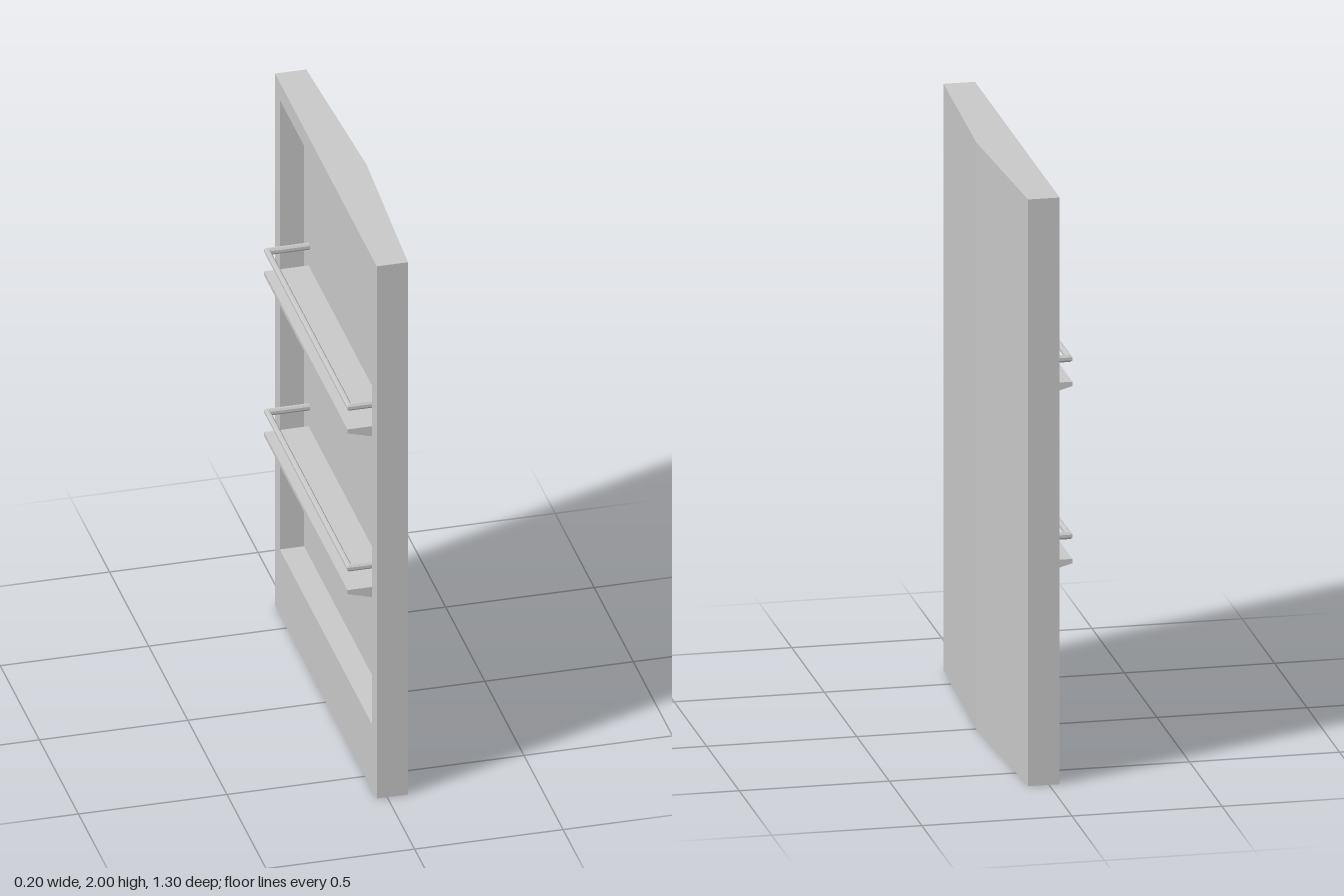
import * as THREE from 'three';

const grey = new THREE.MeshStandardMaterial({ color: 0xc8c8c8, flatShading: true });
grey.name = 'light grey';

const BACK = -0.035, FLOOR = 0.047, TIP = -0.103; // x of rim, recess floor and shelf tip

function part(name, geometry) {
  const mesh = new THREE.Mesh(geometry, grey);
  mesh.name = name;
  return mesh;
}

function polygon(points) {
  return new THREE.Shape(points.map(([x, y]) => new THREE.Vector2(x, y)));
}

function extrude(shape, depth) {
  return new THREE.ExtrudeGeometry(shape, { depth, bevelEnabled: false });
}

// U-shaped rail: an eight-sided section swept with mitred corners
function railGeometry() {
  const path = [ // x, z, outward x, outward z
    [FLOOR + 0.005, -0.524, 0, -1],
    [TIP + 0.009, -0.524, -1, -1],
    [TIP + 0.009, 0.524, -1, 1],
    [FLOOR + 0.005, 0.524, 0, 1],
  ];
  const sides = 8, positions = [], indices = [];
  path.forEach(([x, z, nx, nz], i) => {
    for (let j = 0; j < sides; j++) {
      const t = ((j + 0.5) / sides) * Math.PI * 2;
      const a = 0.0097 * Math.cos(t), b = 0.0125 * Math.sin(t);
      positions.push(x + nx * a, b, z + nz * a);
      if (i < path.length - 1) {
        const k = (j + 1) % sides, p = i * sides, q = p + sides;
        indices.push(p + j, q + j, p + k, q + j, q + k, p + k);
      }
    }
  });
  const geometry = new THREE.BufferGeometry();
  geometry.setAttribute('position', new THREE.Float32BufferAttribute(positions, 3));
  geometry.setIndex(indices);
  geometry.computeVertexNormals();
  return geometry;
}

export function createModel() {
  const door = new THREE.Group();
  door.name = 'door';

  // Bowed outer panel
  const panel = extrude(polygon([[FLOOR, -0.65], [0.07, -0.65], [0.102, 0], [0.07, 0.65], [FLOOR, 0.65]]), 2);
  panel.rotateX(-Math.PI / 2);
  door.add(part('outerPanel', panel));

  // Inner frame around the recess
  const outline = polygon([[-0.65, 0], [0.65, 0], [0.65, 2], [-0.65, 2]]);
  outline.holes.push(polygon([[-0.59, 0.245], [-0.59, 1.935], [0.59, 1.935], [0.59, 0.245]]));
  const frame = extrude(outline, FLOOR - BACK);
  frame.rotateY(Math.PI / 2).translate(BACK, 0, 0);
  door.add(part('innerFrame', frame));

  // Two wedge-shaped shelves, each with a guard rail above
  const wedge = polygon([[TIP, 0], [TIP, -0.015], [FLOOR, -0.057], [FLOOR, 0]]);
  for (const y of [0.728, 1.332]) {
    const rack = new THREE.Group();
    rack.name = y < 1 ? 'lowerRack' : 'upperRack';
    rack.position.y = y;
    const shelf = part('shelf', extrude(wedge, 1.066));
    shelf.position.z = -0.533;
    const rail = part('guardRail', railGeometry());
    rail.position.y = 0.078;
    rack.add(shelf, rail);
    door.add(rack);
  }
  return door;
}
